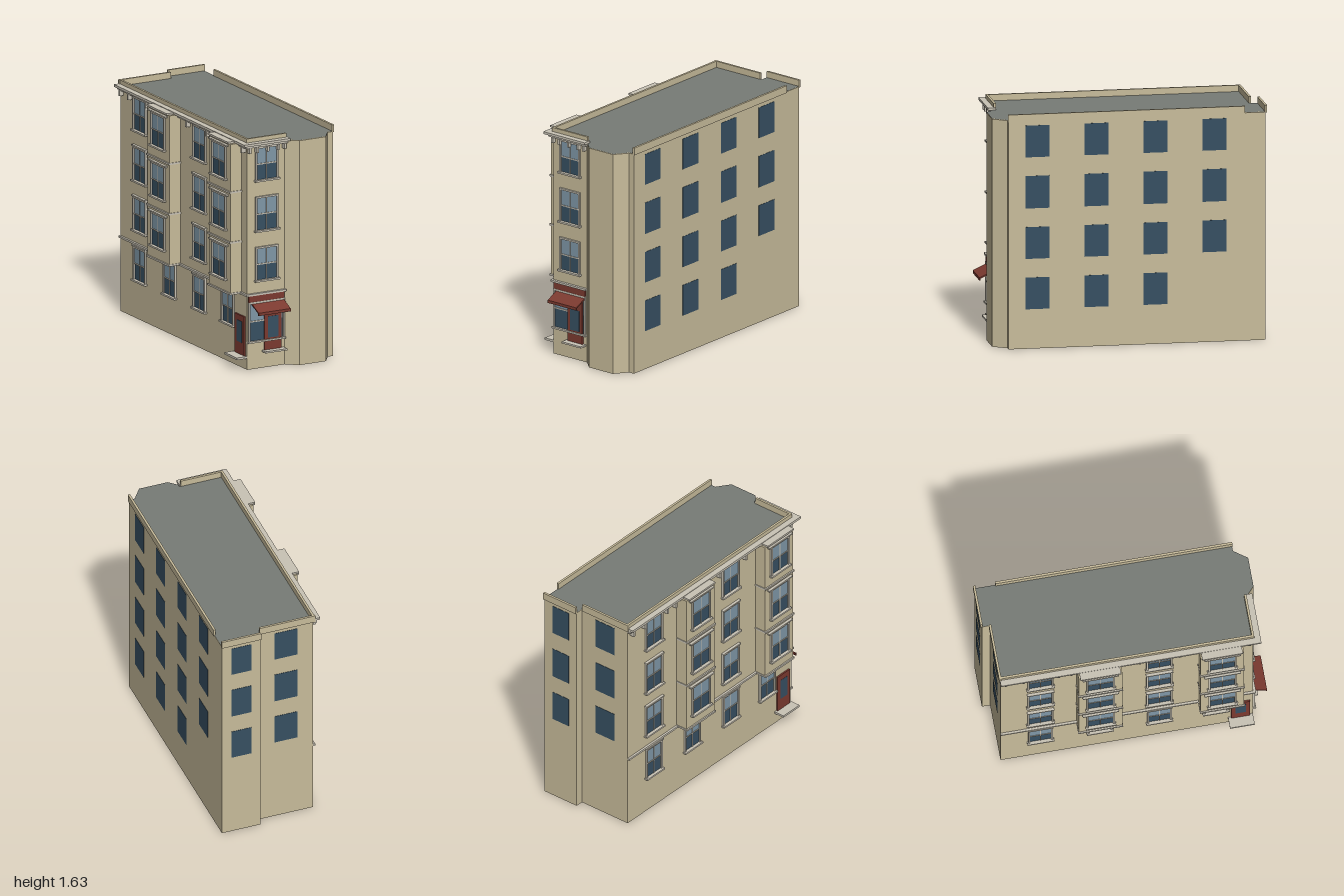
import * as THREE from 'three';

const mat = (color, extra = {}) => new THREE.MeshStandardMaterial({ color, ...extra });
const WALL = mat(0xc8bc9b), TRIM = mat(0xc9c3b5), ROOF = mat(0x777c76), BASE = mat(0x4a4a4a);
const RED = mat(0x7c3a30), GLASS = mat(0x375062), SKYGLASS = mat(0x8098a8);

// Footprint corners (x, z) before the building is turned
const FOOT = [[-0.322, 0.857], [-0.029, 0.857], [0.046, 0.926], [0.254, 0.926], [0.321, 0.833],
  [0.362, 0.833], [0.362, -0.942], [0.08, -0.942], [0.08, -0.885], [-0.322, -0.885]];
const FLOORS = [[0.275, 0.495], [0.625, 0.845], [0.975, 1.2], [1.33, 1.55]];
const TOP = 1.582;

// Box given by its min and max along each axis
function box(parent, name, material, [x0, x1], [y0, y1], [z0, z1]) {
  const m = new THREE.Mesh(new THREE.BoxGeometry(x1 - x0, y1 - y0, z1 - z0), material);
  m.position.set((x0 + x1) / 2, (y0 + y1) / 2, (z0 + z1) / 2);
  m.name = name;
  parent.add(m);
  return m;
}

// Group whose +z points out of a wall
function onWall(parent, name, x, z, turn) {
  const g = new THREE.Group();
  g.name = name;
  g.position.set(x, 0, z);
  g.rotation.y = turn;
  parent.add(g);
  return g;
}

// Sash window with surround, glazing bars, sill and lintel
function sashWindow(g, w, y0, y1, capExtra = 0) {
  const h = w / 2, mid = (y0 + y1) / 2, f = 0.012;
  box(g, 'lowerPane', GLASS, [-h, h], [y0, mid], [-0.004, 0.003]);
  box(g, 'upperPane', SKYGLASS, [-h, h], [mid, y1], [-0.004, 0.005]);
  for (const s of [-1, 1]) {
    const xs = [s * h, s * (h + f)].sort((a, b) => a - b);
    box(g, 'jamb', TRIM, xs, [y0, y1 + f], [-0.004, 0.014]);
  }
  box(g, 'head', TRIM, [-h, h], [y1, y1 + f], [-0.004, 0.014]);
  box(g, 'meetingRail', TRIM, [-h, h], [mid - 0.004, mid + 0.004], [0, 0.009]);
  box(g, 'glazingBar', TRIM, [-0.003, 0.003], [y0, y1], [0, 0.008]);
  box(g, 'sill', TRIM, [-h - 0.02, h + 0.02], [y0 - 0.012, y0], [-0.004, 0.026]);
  if (capExtra) box(g, 'lintel', TRIM, [-h - capExtra, h + capExtra], [y1 + f, y1 + f + 0.01], [-0.004, 0.02]);
}

export function createModel() {
  const model = new THREE.Group();
  model.name = 'cornerBuilding';
  const b = new THREE.Group();
  b.name = 'building';
  b.rotation.y = 0.168;
  model.add(b);

  // Main block, roof and underside
  const shape = new THREE.Shape(FOOT.map(([x, z]) => new THREE.Vector2(x, -z)));
  const body = new THREE.Mesh(new THREE.ExtrudeGeometry(shape, { depth: TOP - 0.001, bevelEnabled: false }), WALL);
  body.rotation.x = -Math.PI / 2;
  body.position.y = 0.001;
  body.name = 'walls';
  const roof = new THREE.Mesh(new THREE.ShapeGeometry(shape), ROOF);
  roof.rotation.x = -Math.PI / 2;
  roof.position.y = TOP + 0.004;
  roof.name = 'roof';
  const under = new THREE.Mesh(new THREE.ShapeGeometry(shape), mat(0x4a4a4a, { side: THREE.BackSide }));
  under.rotation.x = -Math.PI / 2;
  under.name = 'underside';
  b.add(body, roof, under);

  // Parapets
  const P = [1.578, 1.63];
  box(b, 'rightParapet', WALL, [0.354, 0.37], P, [-0.8, 0.836]);
  box(b, 'backParapet', WALL, [0.08, 0.366], P, [-0.953, -0.937]);
  box(b, 'backParapet', WALL, [-0.335, 0.07], P, [-0.896, -0.88]);
  box(b, 'leftParapet', WALL, [-0.33, -0.314], P, [-0.88, 0.865]);
  box(b, 'frontParapet', WALL, [-0.33, -0.02], P, [0.849, 0.865]);

  // Cornice in two steps, and the string course over the ground floor
  for (const [y0, y1, out] of [[1.565, 1.585, 0.025], [1.585, 1.602, 0.05]]) {
    box(b, 'leftCornice', TRIM, [-0.322 - out, -0.322], [y0, y1], [-0.89, 0.857 + out]);
    box(b, 'frontCornice', TRIM, [-0.322, -0.025 + out * 0.3], [y0, y1], [0.85, 0.857 + out]);
  }
  box(b, 'leftStringCourse', TRIM, [-0.338, -0.32], [0.52, 0.534], [-0.885, 0.873]);
  box(b, 'frontStringCourse', TRIM, [-0.33, -0.027], [0.52, 0.534], [0.85, 0.877]);
  for (const x of [-0.312, -0.255, -0.173, -0.09, -0.04])
    box(b, 'frontBracket', TRIM, [x - 0.008, x + 0.008], [1.528, 1.566], [0.85, 0.888]);
  for (const z of [-0.85, -0.73, -0.49, -0.4, 0.07, 0.35, 0.83])
    box(b, 'leftBracket', TRIM, [-0.355, -0.32], [1.528, 1.566], [z - 0.008, z + 0.008]);

  // Projecting bays on the left wall
  const BAY = -0.408;
  for (const z of [-0.21, 0.63]) {
    box(b, 'bay', WALL, [BAY, -0.32], [0.534, TOP], [z - 0.15, z + 0.15]);
    for (const y of [0.522, 0.883, 1.237])
      box(b, 'bayBand', TRIM, [BAY - 0.01, -0.32], [y, y + 0.013], [z - 0.155, z + 0.155]);
    for (const [y0, y1] of FLOORS.slice(1))
      sashWindow(onWall(b, 'bayWindow', BAY, z, -Math.PI / 2), 0.17, y0, y1, 0.04);
    box(b, 'bayCornice', TRIM, [BAY - 0.016, -0.35], [1.585, 1.598], [z - 0.14, z + 0.14]);
  }

  // Flat windows of the left wall
  FLOORS.forEach(([y0, y1], i) => {
    for (const z of i ? [-0.61, 0.21] : [-0.61, -0.2, 0.21, 0.6])
      sashWindow(onWall(b, 'leftWindow', -0.322, z, -Math.PI / 2), i ? 0.155 : 0.145, y0, y1, 0.016);
  });

  // Front windows
  for (const [y0, y1] of FLOORS.slice(1))
    sashWindow(onWall(b, 'frontWindow', -0.173, 0.857, 0), 0.153, y0, y1);

  // Plain panes on the right and back walls
  FLOORS.forEach(([y0, y1], i) => {
    for (const z of [0.632, 0.226, -0.183, -0.59].slice(0, i ? 4 : 3))
      box(b, 'rightPane', GLASS, [0.355, 0.364], [y0, y1], [z - 0.083, z + 0.083]);
    if (i) {
      box(b, 'backPane', GLASS, [0.148, 0.292], [y0, y1], [-0.944, -0.93]);
      box(b, 'backPane', GLASS, [-0.208, -0.04], [y0, y1], [-0.887, -0.87]);
    }
  });

  // Shopfront: fascia, glazing, door and step
  const shop = onWall(b, 'shopfront', 0, 0.857, 0);
  box(shop, 'fascia', RED, [-0.315, -0.038], [0.475, 0.52], [-0.005, 0.012]);
  box(shop, 'shopGlass', GLASS, [-0.305, -0.048], [0.2, 0.335], [-0.005, 0.004]);
  box(shop, 'shopTransom', SKYGLASS, [-0.305, -0.048], [0.335, 0.465], [-0.005, 0.004]);
  for (const x of [-0.317, -0.048]) box(shop, 'shopPost', TRIM, [x, x + 0.012], [0.19, 0.475], [-0.005, 0.014]);
  box(shop, 'shopHead', TRIM, [-0.317, -0.036], [0.462, 0.475], [-0.005, 0.014]);
  box(shop, 'shopSill', TRIM, [-0.325, -0.03], [0.188, 0.2], [-0.005, 0.022]);
  box(shop, 'shopRail', TRIM, [-0.305, -0.19], [0.333, 0.341], [-0.005, 0.01]);
  box(shop, 'shopDoor', RED, [-0.192, -0.062], [0.125, 0.455], [-0.005, 0.012]);
  box(shop, 'doorGlass', GLASS, [-0.168, -0.086], [0.21, 0.36], [0, 0.014]);
  box(shop, 'shopStep', TRIM, [-0.208, -0.04], [0.114, 0.126], [-0.005, 0.055]);

  // Awning: sloped sheet with a short valance
  const profile = new THREE.Shape([[0, 0.468], [0.103, 0.42], [0.103, 0.4], [0.096, 0.4], [0.096, 0.413], [0, 0.458]]
    .map(([z, y]) => new THREE.Vector2(-z, y)));
  const awning = new THREE.Mesh(new THREE.ExtrudeGeometry(profile, { depth: 0.25, bevelEnabled: false }), RED);
  awning.rotation.y = Math.PI / 2;
  awning.position.set(-0.29, 0, 0);
  awning.name = 'awning';
  shop.add(awning);

  // Side entrance near the front corner
  const side = onWall(b, 'sideEntrance', -0.322, 0.77, -Math.PI / 2);
  box(side, 'sideDoor', RED, [-0.065, 0.065], [0.095, 0.37], [-0.005, 0.012]);
  box(side, 'sideDoorGlass', GLASS, [-0.035, 0.035], [0.18, 0.33], [0, 0.014]);
  box(side, 'sideStep', TRIM, [-0.085, 0.085], [0.08, 0.095], [-0.005, 0.08]);

  return model;
}
